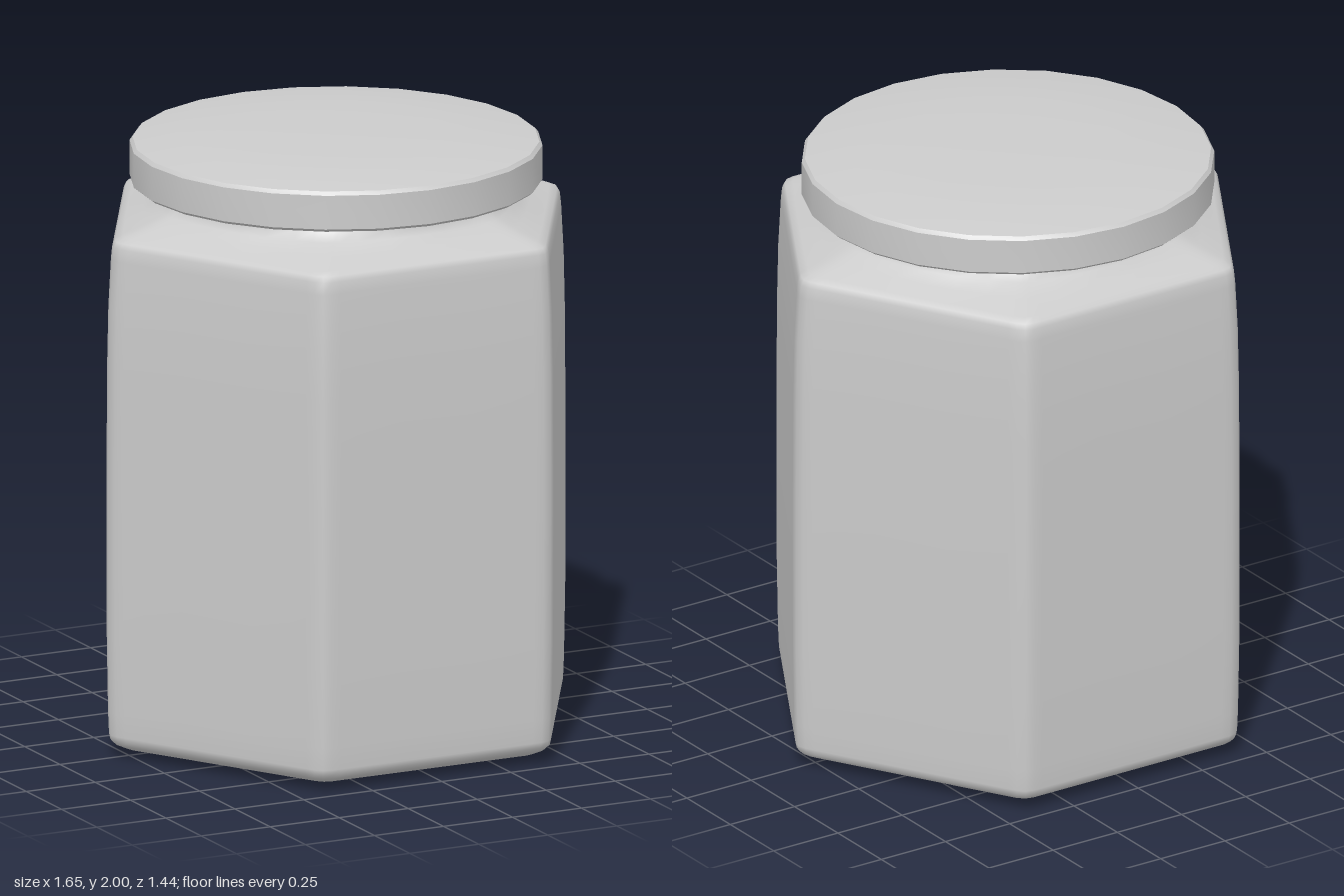
import * as THREE from 'three';
import { toCreasedNormals } from 'three/addons/utils/BufferGeometryUtils.js';

const rad = THREE.MathUtils.degToRad;

// Angles around one ring: dense near each hexagon corner, sparse on the flats
const ringAngles = [];
for (let corner = 0; corner < 6; corner++) {
  for (const offset of [-20, -10, -4, -2, 0, 2, 4, 10, 20, 30]) {
    ringAngles.push(rad(corner * 60 + offset));
  }
}

// Radius of a softened hexagon with the given apothem, blended towards a circle
function ringRadius(apothem, angle, roundness) {
  const step = Math.PI / 3;
  const fromCorner = Math.abs(angle - Math.round(angle / step) * step);
  const hex = Math.min(apothem / Math.cos(step / 2 - fromCorner), apothem * 1.143);
  return THREE.MathUtils.lerp(hex, apothem, roundness);
}

// Skin over a stack of rings given as [apothem, y, roundness]
function loft(rings) {
  const positions = [];
  const index = [];
  const n = ringAngles.length;
  rings.forEach(([apothem, y, roundness], j) => {
    ringAngles.forEach((angle, i) => {
      const r = ringRadius(apothem, angle, roundness);
      positions.push(r * Math.cos(angle), y, r * Math.sin(angle));
      if (j === 0) return;
      const a = (j - 1) * n + i;
      const b = (j - 1) * n + (i + 1) % n;
      index.push(a, a + n, b, b, a + n, b + n);
    });
  });
  const geometry = new THREE.BufferGeometry();
  geometry.setAttribute('position', new THREE.Float32BufferAttribute(positions, 3));
  geometry.setIndex(index);
  geometry.computeVertexNormals();
  return geometry;
}

export function createModel() {
  const group = new THREE.Group();
  group.name = 'hexagonalJar';
  const material = new THREE.MeshStandardMaterial({ color: 0xcccccc });

  // Jar: flat base, rounded foot, tall bowed walls, shoulder and round neck
  const jar = new THREE.Mesh(loft([
    [0, 0, 0],
    [0.5, 0.003, 0],
    [0.6, 0.01, 0],
    [0.66, 0.022, 0],
    [0.695, 0.04, 0],
    [0.71, 0.056, 0],
    [0.714, 0.075, 0],
    [0.717, 0.15, 0],
    [0.721, 0.4, 0],
    [0.722, 0.9, 0],
    [0.72, 1.3, 0],
    [0.716, 1.5, 0],
    [0.708, 1.66, 0],
    [0.704, 1.7, 0],
    [0.695, 1.718, 0],
    [0.675, 1.73, 0.06],
    [0.62, 1.755, 0.3],
    [0.58, 1.782, 0.65],
    [0.565, 1.81, 0.9],
    [0.56, 1.85, 1],
  ]), material);
  jar.name = 'jarBody';
  group.add(jar);

  // Lid: 24-sided disc with a small chamfer and a gently domed top
  const lidProfile = [
    [0, 1.832], [0.655, 1.832], [0.667, 1.842], [0.667, 1.955], [0.657, 1.967],
    [0.52, 1.985], [0.36, 1.995], [0.18, 1.999], [0, 2],
  ].map(([x, y]) => new THREE.Vector2(x, y));
  const lid = new THREE.Mesh(
    toCreasedNormals(new THREE.LatheGeometry(lidProfile, 24), rad(35)), material);
  lid.name = 'lid';
  group.add(lid);

  return group;
}
